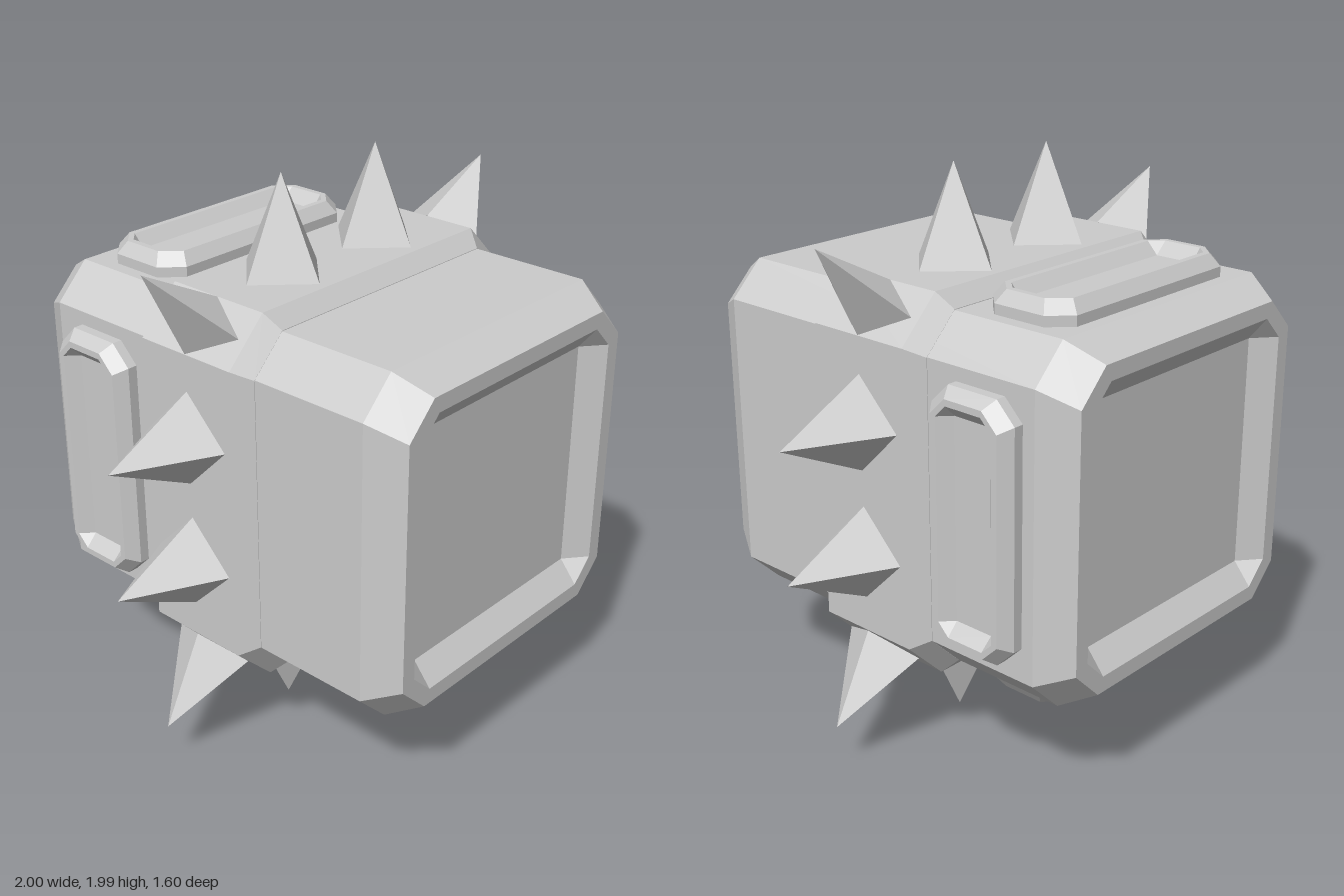
import * as THREE from 'three';

const material = new THREE.MeshStandardMaterial({ color: 0xcccccc, flatShading: true });

// Rectangle with cut corners, counter-clockwise seen from +z
function ring([hx, hy, cut, z]) {
  const x = hx - cut, y = hy - cut;
  return [[hx, -y], [hx, y], [x, hy], [-x, hy], [-hx, y], [-hx, -y], [-x, -hy], [x, -hy]]
    .map(([px, py]) => new THREE.Vector3(px, py, z));
}

// Faceted solid through a list of rings [halfWidth, halfHeight, cornerCut, z], capped at both ends
function loft(sections) {
  const rings = sections.map(ring), n = 8, points = [];
  const tri = (a, b, c) => {
    const area = b.clone().sub(a).cross(c.clone().sub(a)).length();
    if (area > 1e-7) points.push(a, b, c);
  };
  for (let r = 0; r < rings.length - 1; r++) {
    const a = rings[r], b = rings[r + 1];
    for (let i = 0; i < n; i++) {
      const j = (i + 1) % n;
      tri(a[i], a[j], b[j]);
      tri(a[i], b[j], b[i]);
    }
  }
  const first = rings[0], last = rings[rings.length - 1];
  for (let i = 1; i < n - 1; i++) {
    tri(first[0], first[i + 1], first[i]);
    tri(last[0], last[i], last[i + 1]);
  }
  const geometry = new THREE.BufferGeometry().setFromPoints(points);
  geometry.computeVertexNormals();
  return geometry;
}

function part(name, geometry, parent) {
  const mesh = new THREE.Mesh(geometry, material);
  mesh.name = name;
  parent.add(mesh);
  return mesh;
}

export function createModel() {
  const model = new THREE.Group();
  model.name = 'spikedBlock';
  const core = new THREE.Group();
  core.name = 'core';
  core.position.y = 1;
  model.add(core);

  // Body with a bevelled rim and sunken panel at each end
  const end = [[0.61, 0.61, 0.122, 0.68], [0.545, 0.545, 0.11, 0.8], [0.49, 0.49, 0.08, 0.8], [0.41, 0.41, 0, 0.735]];
  const backEnd = end.map(([x, y, c, z]) => [x, y, c, -z]).reverse();
  part('body', loft([...backEnd, ...end]), core);

  // Raised belt around the middle
  part('belt', loft([
    [0.612, 0.612, 0.125, -0.248], [0.665, 0.665, 0.148, -0.195],
    [0.665, 0.665, 0.148, 0.195], [0.612, 0.612, 0.125, 0.248],
  ]), core);

  const padGeometry = loft([
    [0.44, 0.168, 0.07, 0.59], [0.44, 0.168, 0.07, 0.645], [0.41, 0.135, 0.06, 0.688],
    [0.388, 0.113, 0.042, 0.688], [0.346, 0.073, 0, 0.645],
  ]);
  const spikeGeometry = new THREE.ConeGeometry(0.165, 0.335, 4);
  spikeGeometry.translate(0, 0.6625 + 0.1675, 0);
  const cornerGeometry = new THREE.ConeGeometry(0.165, 0.325, 4);
  cornerGeometry.scale(0.63, 1, 1).translate(0, 0.8375 + 0.1625, 0);

  // Four sides, each with a framed pad, two spikes and a corner spike
  ['top', 'left', 'bottom', 'right'].forEach((label, k) => {
    const side = new THREE.Group();
    side.name = label + 'Side';
    side.rotation.z = -k * Math.PI / 2;
    core.add(side);

    const pad = part('pad', padGeometry, side);
    pad.rotation.x = -Math.PI / 2;
    pad.position.z = -0.467;

    for (const x of [-0.227, 0.227]) part('spike', spikeGeometry, side).position.x = x;
    part('cornerSpike', cornerGeometry, side).rotation.z = -Math.PI / 4;
  });

  return model;
}
